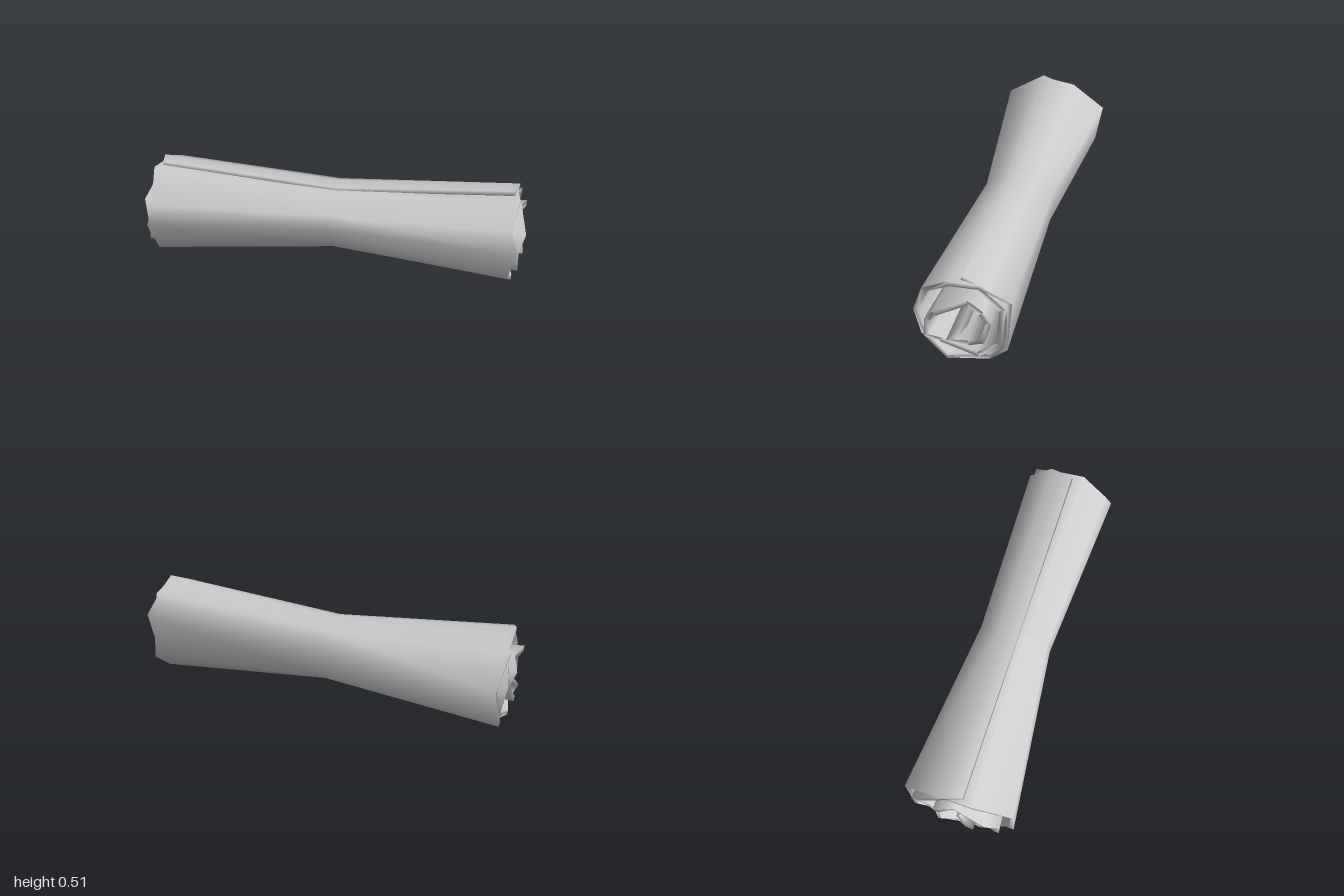
import * as THREE from 'three';

// Outer face of the rolled sheet at three stations, [z, y] in hundredths,
// from the outer flap edge inwards to the core.
const LEFT = [
  [2.1, 51.5], [-10.2, 47.9], [-29, 36.4], [-24.8, 12.5], [-10.5, 1.8], [10.5, 0.5], [23.4, 10.5],
  [29, 28.4], [27.8, 40.2], [8.2, 51.7], [-6.1, 47.2], [-24, 36], [-20, 14], [-6.2, 7.1],
  [13.6, 8.5], [21.5, 14.3], [22, 26], [16, 36], [-1.4, 41.5], [-11, 38], [-13, 28.4],
  [-10, 18.8], [-1.4, 12.7], [8.6, 16.6], [1.1, 25.9],
];
const MIDDLE = [
  [1.4, 43.4], [-9.3, 41.4], [-19.5, 36], [-18.2, 18.2], [-9.3, 11.1], [8.2, 10], [16.8, 17],
  [18.6, 28.4], [16.8, 36], [5, 42.4], [-4.6, 41.2], [-17, 35.5], [-14.6, 19.5], [-5.7, 14.3],
  [8.2, 15.2], [13.2, 18.2], [13, 24.1], [10, 29.8], [-1.1, 35.4], [-6.4, 34], [-7.7, 27.9],
  [-5.9, 21.8], [-1.1, 18.2], [6.4, 19.6], [0.8, 25],
];
const RIGHT = [
  [2.1, 50.8], [-10.2, 47.9], [-21.4, 39.3], [-19.8, 12.5], [-10.5, 1.8], [10.5, 0.4], [23.4, 10.5],
  [25.5, 28.4], [22, 39.3], [8.2, 48.7], [-6.1, 48.4], [-19.5, 39.3], [-16.4, 12.9], [-6.2, 7.1],
  [13.6, 9.3], [20.4, 14.3], [19.8, 25], [14.5, 33], [-1.4, 40.5], [-10, 38], [-12.7, 28.4],
  [-10, 18.8], [-1.4, 12.7], [8.6, 16.6], [1.1, 25.9],
];
const THICKNESS = 2.6;

// Ragged roll ends: the inner turns stick out a little further.
function endX(i, side) {
  const ragged = i % 2 ? 0.015 : -0.015;
  if (i < 10) return side * (0.94 + ragged);
  if (i < 16) return side * (0.96 + ragged);
  return side * (0.985 + ragged);
}

// Mitred offset of a spiral towards its core.
function inset(points) {
  const p = points.map(([z, y]) => new THREE.Vector2(z, y));
  const normal = (a, b) => {
    const t = b.clone().sub(a).normalize();
    return new THREE.Vector2(-t.y, t.x).negate();
  };
  return p.map((q, i) => {
    const before = normal(p[Math.max(i - 1, 0)], p[Math.max(i, 1)]);
    const after = normal(p[Math.min(i, p.length - 2)], p[Math.min(i + 1, p.length - 1)]);
    const m = before.clone().add(after).normalize();
    // z runs leftwards when seen from +x, so the core lies on the opposite hand
    const length = THICKNESS / Math.max(m.dot(after), 0.5);
    return [q.x - m.x * length, q.y - m.y * length];
  });
}

function rolledSheetGeometry() {
  const n = LEFT.length;
  const ring = 2 * n;
  const positions = [];
  const index = [];

  // Each station is a closed ring: outer face, then inner face back again.
  [LEFT, MIDDLE, RIGHT].forEach((outer, s) => {
    const add = ([z, y], i) => positions.push(endX(i, s - 1), y / 100, z / 100);
    outer.forEach(add);
    const inner = inset(outer);
    for (let i = n - 1; i >= 0; i--) add(inner[i], i);
  });

  // Walls between stations
  for (let s = 0; s < 2; s++) {
    for (let i = 0; i < ring; i++) {
      const j = (i + 1) % ring;
      const a = s * ring + i, c = s * ring + j;
      const b = a + ring, d = c + ring;
      index.push(a, b, c, b, d, c);
    }
  }

  // Narrow edge strips closing the sheet at both ends
  for (let i = 0; i < n - 1; i++) {
    const o = i, o1 = i + 1, k = ring - 1 - i, k1 = ring - 2 - i;
    index.push(o, o1, k, o1, k1, k);
    const e = 2 * ring;
    index.push(e + o, e + k, e + o1, e + o1, e + k, e + k1);
  }

  const geometry = new THREE.BufferGeometry();
  geometry.setAttribute('position', new THREE.Float32BufferAttribute(positions, 3));
  geometry.setIndex(index);
  geometry.computeVertexNormals();
  return geometry;
}

export function createModel() {
  const group = new THREE.Group();
  group.name = 'scroll';
  const material = new THREE.MeshStandardMaterial({ color: 0xcccccc, side: THREE.DoubleSide });
  const sheet = new THREE.Mesh(rolledSheetGeometry(), material);
  sheet.name = 'rolledSheet';
  group.add(sheet);
  return group;
}
